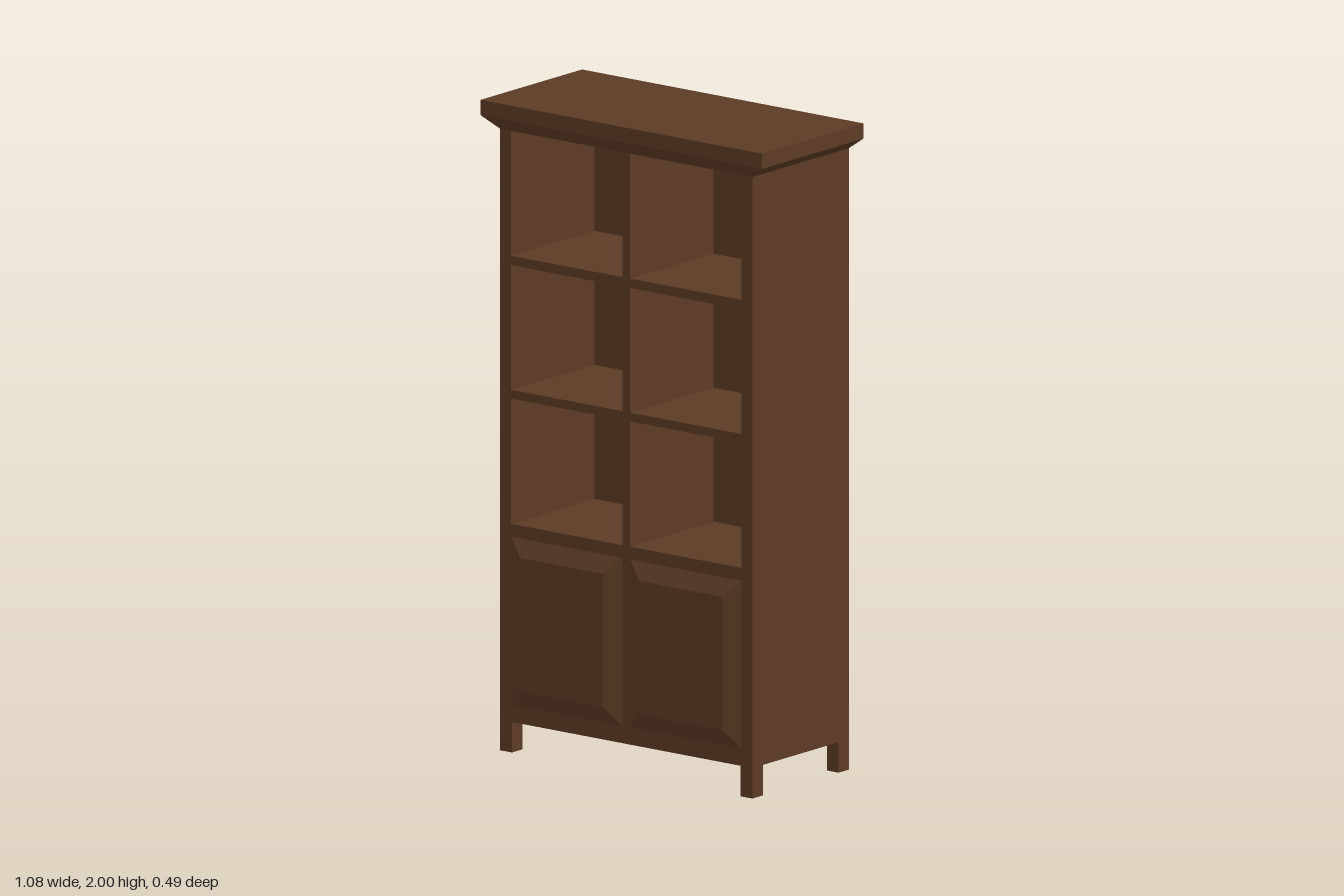
import * as THREE from 'three';

const wood = new THREE.MeshStandardMaterial({ color: 0x5c3b25, flatShading: true });

// Main dimensions
const HALF_W = 0.483, FRONT = 0.219, BACK = -0.243, BASE = 0.094, TOP = 1.915;
const BAY_IN = 0.015, BAY_OUT = 0.441, BAY_BACK = -0.18;

function addMesh(parent, name, geometry) {
  const mesh = new THREE.Mesh(geometry, wood);
  mesh.name = name;
  parent.add(mesh);
  return mesh;
}

// Box given by its extents on each axis
function block([x0, x1], [y0, y1], [z0, z1]) {
  return new THREE.BoxGeometry(x1 - x0, y1 - y0, z1 - z0)
    .translate((x0 + x1) / 2, (y0 + y1) / 2, (z0 + z1) / 2);
}

// Box whose corners are moved by a rule
function reshape(geometry, rule) {
  const pos = geometry.attributes.position;
  const v = new THREE.Vector3();
  for (let i = 0; i < pos.count; i++) {
    rule(v.fromBufferAttribute(pos, i));
    pos.setXYZ(i, v.x, v.y, v.z);
  }
  geometry.computeVertexNormals();
  return geometry;
}

function rectangle(target, x0, x1, y0, y1) {
  target.moveTo(x0, y0);
  target.lineTo(x1, y0);
  target.lineTo(x1, y1);
  target.lineTo(x0, y1);
  target.closePath();
  return target;
}

export function createModel() {
  const model = new THREE.Group();
  model.name = 'bookcase';

  // Carcass: a solid front grid with six open bays
  const face = rectangle(new THREE.Shape(), -HALF_W, HALF_W, BASE, TOP + 0.01);
  for (const [y0, y1] of [[0.704, 1.09], [1.117, 1.501], [1.53, TOP]]) {
    face.holes.push(rectangle(new THREE.Path(), BAY_IN, BAY_OUT, y0, y1));
    face.holes.push(rectangle(new THREE.Path(), -BAY_OUT, -BAY_IN, y0, y1));
  }
  const carcass = new THREE.ExtrudeGeometry(face, { depth: FRONT - BAY_BACK, bevelEnabled: false });
  addMesh(model, 'carcass', carcass.translate(0, 0, BAY_BACK));
  addMesh(model, 'backPanel', block([-HALF_W, HALF_W], [BASE, TOP], [BACK, BAY_BACK]));

  // Raised door panels with sloping borders
  const doorW = BAY_OUT - BAY_IN, doorH = 0.517, border = 0.053;
  for (const side of [-1, 1]) {
    const panel = reshape(new THREE.BoxGeometry(doorW, doorH, 0.024), (v) => {
      if (v.z > 0) {
        v.x -= Math.sign(v.x) * border;
        v.y -= Math.sign(v.y) * border;
      }
    });
    const door = addMesh(model, side > 0 ? 'leftDoorPanel' : 'rightDoorPanel', panel);
    door.position.set(side * (BAY_IN + BAY_OUT) / 2, 0.406, FRONT + 0.012);
  }

  // Crown: flat slab over a flared moulding, flush at the back
  const crown = new THREE.Group();
  crown.name = 'crown';
  model.add(crown);
  addMesh(crown, 'topSlab', block([-0.539, 0.539], [1.953, 2], [BACK, 0.243]));
  addMesh(crown, 'flaredMoulding',
    reshape(block([-0.539, 0.539], [TOP, 1.953], [BACK, 0.243]), (v) => {
      if (v.y < TOP + 0.01) {
        v.x = Math.sign(v.x) * HALF_W;
        if (v.z > 0) v.z = FRONT;
      }
    }));

  // Four short square legs
  for (const side of [-1, 1]) {
    const x = side > 0 ? [0.438, HALF_W] : [-HALF_W, -0.438];
    const label = side > 0 ? 'Left' : 'Right';
    addMesh(model, 'front' + label + 'Leg', block(x, [0, BASE], [0.168, FRONT]));
    addMesh(model, 'back' + label + 'Leg', block(x, [0, BASE], [BACK, -0.194]));
  }

  return model;
}
